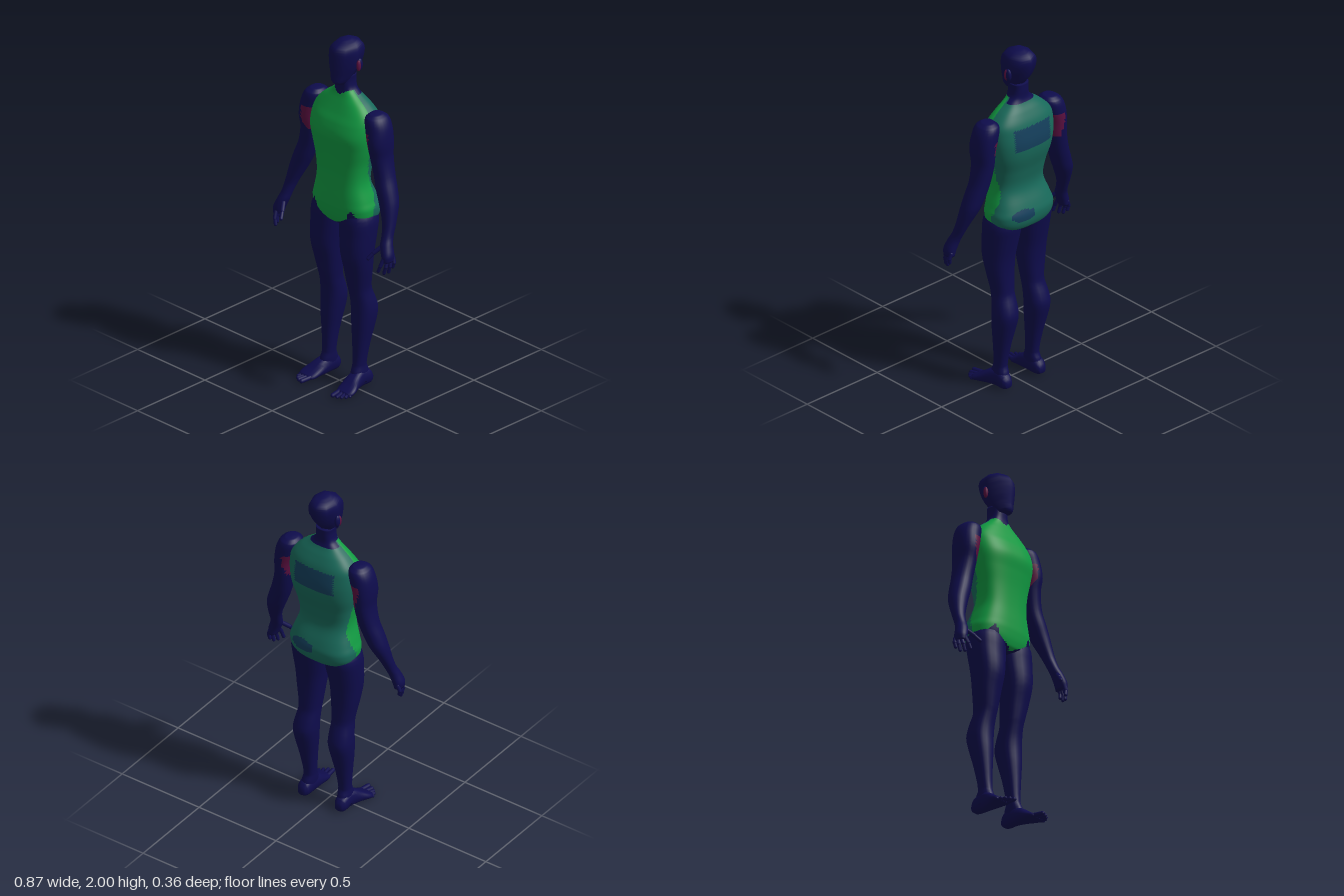
import * as THREE from 'three';

const mat = (name, color) => Object.assign(new THREE.MeshStandardMaterial({ color }), { name });
const navy = mat('navy skin', 0x0e0c4c);
const green = mat('green front', 0x119a42);
const teal = mat('teal back', 0x18695a);
const maroon = mat('maroon', 0x5a1040);
const slate = mat('slate blue', 0x143f5c);

// Smooth interpolation of profile rows, n steps between neighbours
function refine(rows, n) {
  const slope = (i, k) => {
    const a = rows[Math.max(i - 1, 0)], b = rows[Math.min(i + 1, rows.length - 1)];
    return (b[k] - a[k]) / (b[0] - a[0]);
  };
  const out = [];
  for (let i = 0; i < rows.length - 1; i++) {
    const p = rows[i], q = rows[i + 1], h = q[0] - p[0];
    for (let s = 0; s < n; s++) {
      const t = s / n, t2 = t * t, t3 = t2 * t;
      out.push(p.map((v, k) => k === 0 ? v + h * t
        : (2 * t3 - 3 * t2 + 1) * v + (t3 - 2 * t2 + t) * h * slope(i, k)
        + (3 * t2 - 2 * t3) * q[k] + (t3 - t2) * h * slope(i + 1, k)));
    }
  }
  out.push(rows[rows.length - 1]);
  return out;
}

// Closed loft. Rows, ascending: [position, x min, x max, far max, far min].
// Runs up y, or along z when alongZ is set; pick(x, y, z) chooses a material index.
function loft(name, rows, { seg = 14, steps = 3, power = 2.2, side = 1, alongZ = false, materials = [navy], pick = () => 0 } = {}) {
  const pos = [], lists = materials.map(() => []);
  const fine = refine(rows, steps);
  const add = (x, t, v) => pos.push(side * x, alongZ ? v : t, alongZ ? t : v);
  const bend = (v) => Math.sign(v) * Math.pow(Math.abs(v), 2 / power);
  for (const [t, x0, x1, v1, v0] of fine) {
    for (let j = 0; j < seg; j++) {
      const a = (j / seg) * Math.PI * 2;
      add((x0 + x1) / 2 + bend(Math.cos(a)) * (x1 - x0) / 2, t, (v0 + v1) / 2 + bend(Math.sin(a)) * (v1 - v0) / 2);
    }
  }
  const last = fine.length - 1, poles = fine.length * seg;
  for (const r of [fine[0], fine[last]]) add((r[1] + r[2]) / 2, r[0], (r[3] + r[4]) / 2);
  const flip = (side < 0) !== alongZ;
  const tri = (a, b, c) => {
    const m = [0, 1, 2].map((k) => (pos[a * 3 + k] + pos[b * 3 + k] + pos[c * 3 + k]) / 3);
    lists[pick(...m)].push(a, flip ? c : b, flip ? b : c);
  };
  for (let j = 0; j < seg; j++) {
    const k = (j + 1) % seg;
    for (let i = 0; i < last; i++) {
      const a = i * seg + j, b = i * seg + k;
      tri(a, a + seg, b);
      tri(b, a + seg, b + seg);
    }
    tri(poles, j, k);
    tri(poles + 1, last * seg + k, last * seg + j);
  }
  const g = new THREE.BufferGeometry();
  g.setAttribute('position', new THREE.Float32BufferAttribute(pos, 3));
  g.setIndex(lists.flat());
  let start = 0;
  lists.forEach((l, i) => { g.addGroup(start, l.length, i); start += l.length; });
  g.computeVertexNormals();
  const mesh = new THREE.Mesh(g, materials);
  mesh.name = name;
  return mesh;
}

// Rounded rod between two points, for fingers and toes
function digit(name, side, a, b, r) {
  const p = new THREE.Vector3(side * a[0], a[1], a[2]), q = new THREE.Vector3(side * b[0], b[1], b[2]);
  const d = q.clone().sub(p);
  const mesh = new THREE.Mesh(new THREE.CapsuleGeometry(r, d.length(), 3, 8), navy);
  mesh.position.copy(p).add(q).multiplyScalar(0.5);
  mesh.quaternion.setFromUnitVectors(new THREE.Vector3(0, 1, 0), d.normalize());
  mesh.name = name;
  return mesh;
}

function ellipsoid(name, material, x, y, z, sx, sy, sz) {
  const m = new THREE.Mesh(new THREE.SphereGeometry(1, 12, 8), material);
  m.position.set(x, y, z);
  m.scale.set(sx, sy, sz);
  m.name = name;
  return m;
}

// Torso colours: jagged hem and collar, green front, teal back with slate patches
function torsoColour(x, y, z) {
  const ax = Math.abs(x);
  let hem = 0.975;
  if (z > -0.06) hem = ax < 0.11 ? 0.95 + ax * 0.5 : 1.02 + 0.04 * Math.max(0, 1 - Math.abs(ax - 0.135) / 0.03);
  const collar = z > -0.05 ? 1.69 + 0.03 * Math.min(1, ax / 0.05) : 1.695;
  if (y < hem || y > collar) return 0;
  if (z > -0.045 - 0.04 * Math.exp(-(((y - 1.15) / 0.1) ** 2))) return 1;
  if (ax < 0.125 && y > 1.45 && y < 1.58) return 3;
  if (((x - 0.07) / 0.07) ** 2 + ((y - 1.06) / 0.035) ** 2 < 1 && z < -0.1) return 3;
  return 2;
}

export function createModel() {
  const body = new THREE.Group();
  body.name = 'figure';

  // Torso and neck: y, half width, front z, back z
  const torso = [
    [0.935, 0.03, -0.02, -0.08], [0.955, 0.1, 0.04, -0.13], [0.985, 0.175, 0.06, -0.165],
    [1.05, 0.198, 0.07, -0.18], [1.1, 0.185, 0.07, -0.168], [1.2, 0.157, 0.067, -0.132],
    [1.3, 0.165, 0.07, -0.145], [1.4, 0.19, 0.08, -0.172], [1.48, 0.203, 0.089, -0.18],
    [1.55, 0.203, 0.07, -0.172], [1.6, 0.19, 0.045, -0.16], [1.65, 0.145, 0.022, -0.135],
    [1.69, 0.093, 0.005, -0.11], [1.72, 0.06, -0.002, -0.1], [1.76, 0.049, -0.002, -0.1], [1.8, 0.05, 0, -0.1],
  ];
  body.add(loft('torso', torso.map(([y, w, f, b]) => [y, -w, w, f, b]),
    { seg: 64, steps: 6, power: 2.7, materials: [navy, green, teal, slate], pick: torsoColour }));

  // Head
  const head = [
    [1.76, 0.035, 0.035, -0.03], [1.775, 0.045, 0.043, -0.06], [1.81, 0.06, 0.042, -0.1],
    [1.86, 0.075, 0.044, -0.132], [1.92, 0.082, 0.044, -0.152], [1.96, 0.076, 0.034, -0.15],
    [1.985, 0.054, 0.0, -0.125], [2.0, 0.02, -0.03, -0.085],
  ];
  body.add(loft('head', head.map(([y, w, f, b]) => [y, -w, w, f, b]), { seg: 8, power: 2.3 }));

  for (const side of [1, -1]) {
    const label = side > 0 ? 'left' : 'right';

    // Ears
    const ear = new THREE.Group();
    ear.name = label + 'Ear';
    ear.add(ellipsoid('earShell', navy, side * 0.084, 1.87, -0.066, 0.014, 0.036, 0.02));
    ear.add(ellipsoid('innerEar', maroon, side * 0.088, 1.868, -0.055, 0.012, 0.032, 0.014));
    ear.rotation.z = 0;
    body.add(ear);

    // Arm and palm, with a maroon patch beside the chest
    const reach = side > 0 ? 0.238 : 0.262;
    body.add(loft(label + 'Arm', [
      [0.865, 0.385, 0.43, 0.078, 0.008], [0.9, 0.37, 0.432, 0.08, 0.005], [0.95, 0.35, 0.415, 0.066, -0.002],
      [0.99, 0.342, 0.402, 0.047, -0.018], [1.05, 0.325, 0.396, 0.027, -0.045], [1.15, 0.28, 0.382, 0.015, -0.09],
      [1.22, 0.25, 0.361, 0.01, -0.104], [1.3, 0.225, 0.332, 0.003, -0.115], [1.4, 0.205, 0.311, 0.012, -0.125],
      [1.48, 0.197, 0.312, 0.028, -0.13], [1.56, 0.175, 0.303, 0.022, -0.13], [1.615, 0.168, 0.28, 0.01, -0.12],
      [1.638, 0.19, 0.25, -0.02, -0.09],
    ], {
      side, seg: 24, steps: 4, materials: [navy, maroon],
      pick: (x, y) => (y > 1.4 && y < 1.54 && Math.abs(x) < reach - Math.max(0, 1.47 - y) * 0.4 ? 1 : 0),
    }));

    // Fingers and thumb
    const hand = new THREE.Group();
    hand.name = label + 'Fingers';
    [
      [[0.4, 0.885, 0.07], [0.392, 0.845, 0.088], [0.382, 0.815, 0.093]],
      [[0.41, 0.88, 0.053], [0.412, 0.84, 0.068], [0.403, 0.803, 0.072]],
      [[0.416, 0.88, 0.035], [0.421, 0.84, 0.045], [0.413, 0.806, 0.048]],
      [[0.416, 0.885, 0.017], [0.426, 0.855, 0.02], [0.42, 0.83, 0.023]],
      [[0.37, 0.945, 0.045], [0.34, 0.905, 0.085], [0.324, 0.875, 0.11]],
    ].forEach(([a, b, c], i) => {
      const name = i < 4 ? 'finger' : 'thumb', r = i < 4 ? 0.011 : 0.012;
      hand.add(digit(name + 'Base', side, a, b, r), digit(name + 'Tip', side, b, c, r * 0.85));
    });
    body.add(hand);

    // Leg
    body.add(loft(label + 'Leg', [
      [0.03, 0.085, 0.155, 0.03, -0.1], [0.09, 0.08, 0.15, 0.018, -0.09], [0.13, 0.08, 0.145, 0.003, -0.076],
      [0.26, 0.069, 0.159, 0, -0.1], [0.36, 0.055, 0.174, 0, -0.127], [0.44, 0.047, 0.18, -0.002, -0.145],
      [0.5, 0.047, 0.175, 0.002, -0.132], [0.56, 0.048, 0.166, 0.014, -0.11], [0.6, 0.045, 0.168, 0.024, -0.105],
      [0.7, 0.035, 0.186, 0.045, -0.103], [0.8, 0.025, 0.197, 0.067, -0.11], [0.92, 0.008, 0.205, 0.063, -0.132],
      [1.0, 0.008, 0.202, 0.058, -0.143], [1.06, 0.04, 0.17, 0.035, -0.11],
    ], { side, seg: 20, power: 2.3 }));

    // Foot, heel to ball
    body.add(loft(label + 'Foot', [
      [-0.112, 0.1, 0.14, 0.055, 0.015], [-0.09, 0.085, 0.155, 0.085, 0.002], [-0.03, 0.08, 0.157, 0.105, 0],
      [0.03, 0.078, 0.175, 0.08, 0], [0.07, 0.08, 0.192, 0.052, 0], [0.1, 0.085, 0.195, 0.034, 0],
      [0.118, 0.095, 0.18, 0.024, 0.003],
    ], { side, alongZ: true, power: 2.4 }));

    // Toes
    const toes = new THREE.Group();
    toes.name = label + 'Toes';
    [[0.105, 0.115, 0.166, 0.012], [0.127, 0.142, 0.16, 0.01], [0.145, 0.163, 0.147, 0.009],
      [0.162, 0.178, 0.13, 0.009], [0.175, 0.186, 0.108, 0.009]].forEach(([x0, x1, z, r]) => {
      toes.add(digit('toe', side, [x0, 0.016, 0.09], [x1, r, z], r));
    });
    body.add(toes);
  }
  return body;
}
